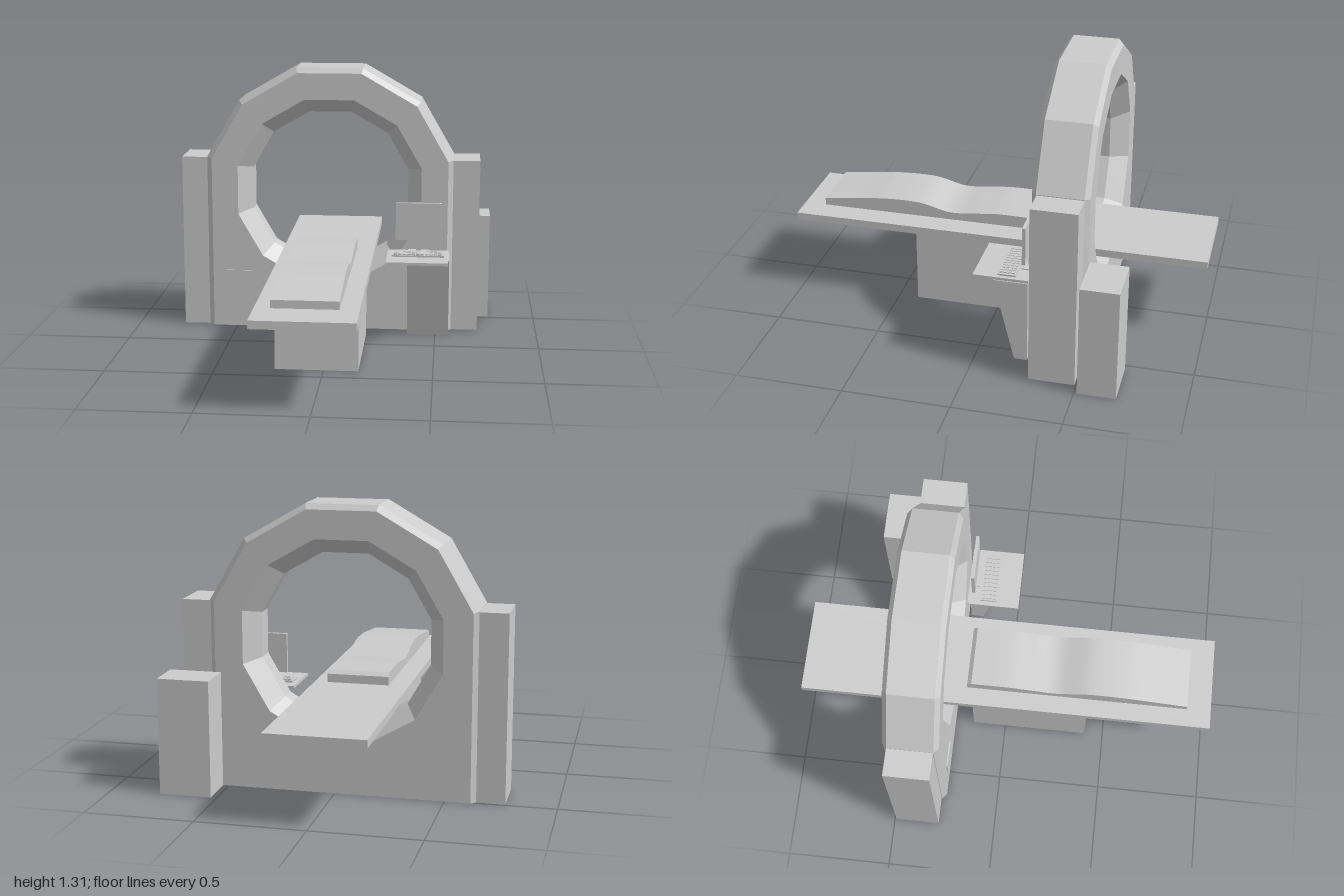
import * as THREE from 'three';
import { toCreasedNormals } from 'three/addons/utils/BufferGeometryUtils.js';

const material = new THREE.MeshStandardMaterial({ color: 0xcccccc });
const flat = new THREE.MeshStandardMaterial({ color: 0xcccccc, flatShading: true });

function add(parent, name, geometry, mat = material) {
  const mesh = new THREE.Mesh(geometry, mat);
  mesh.name = name;
  parent.add(mesh);
  return mesh;
}

// Box given by its limits on each axis
function box(parent, name, [x0, x1], [y0, y1], [z0, z1]) {
  const geometry = new THREE.BoxGeometry(x1 - x0, y1 - y0, z1 - z0);
  geometry.translate((x0 + x1) / 2, (y0 + y1) / 2, (z0 + z1) / 2);
  return add(parent, name, geometry);
}

// Side profile drawn as (z, y), extruded across x
function extrudeAcross(parent, name, shape, [x0, x1]) {
  let geometry = new THREE.ExtrudeGeometry(shape, { depth: x1 - x0, bevelEnabled: false, curveSegments: 8 });
  geometry.rotateY(-Math.PI / 2).translate(x1, 0, 0);
  geometry = toCreasedNormals(geometry, 0.5);
  return add(parent, name, geometry);
}

// Twelve-sided outlines sharing the centre of the bore
const CX = -0.0325, CY = 0.7;
function polygon(apothem, count) {
  const radius = apothem / Math.cos(Math.PI / 12);
  return Array.from({ length: count }, (_, i) => {
    const a = Math.PI / 12 + (i * Math.PI) / 6;
    return new THREE.Vector2(CX + radius * Math.cos(a), CY + radius * Math.sin(a));
  });
}
const arch = (a) => [new THREE.Vector2(CX + a, 0), ...polygon(a, 6), new THREE.Vector2(CX - a, 0)];
const bore = (a) => polygon(a, 12).reverse();

// Walls through matching loops, listed from front to back as [loop, z]
function loft(sections) {
  const positions = [];
  for (let s = 0; s < sections.length - 1; s++) {
    const [p, zp] = sections[s], [q, zq] = sections[s + 1];
    for (let i = 0; i < p.length; i++) {
      const j = (i + 1) % p.length;
      const a = [p[i].x, p[i].y, zp], b = [p[j].x, p[j].y, zp];
      const c = [q[i].x, q[i].y, zq], d = [q[j].x, q[j].y, zq];
      positions.push(...a, ...c, ...b, ...b, ...c, ...d);
    }
  }
  const geometry = new THREE.BufferGeometry();
  geometry.setAttribute('position', new THREE.Float32BufferAttribute(positions, 3));
  geometry.computeVertexNormals();
  return geometry;
}

function createGantry() {
  const gantry = new THREE.Group();
  gantry.name = 'gantry';
  const front = -0.255, back = -0.512;

  // Bevelled arch and the bore that narrows to a throat
  add(gantry, 'archShell', loft([
    [arch(0.585), front], [arch(0.61), front - 0.022],
    [arch(0.61), back + 0.022], [arch(0.585), back],
  ]), flat);
  add(gantry, 'bore', loft([
    [bore(0.455), front], [bore(0.387), front - 0.085],
    [bore(0.387), back + 0.085], [bore(0.455), back],
  ]), flat);

  // Front and back faces
  const shape = new THREE.Shape(arch(0.585));
  shape.holes.push(new THREE.Path(bore(0.455)));
  add(gantry, 'frontFace', new THREE.ShapeGeometry(shape)).position.z = front;
  const rear = add(gantry, 'backFace', new THREE.ShapeGeometry(shape));
  rear.rotation.y = Math.PI;
  rear.position.set(2 * CX, 0, back);

  // Side columns, control panel and rear cabinet
  box(gantry, 'rightColumn', [-0.77, -0.63], [0, 0.86], [-0.492, -0.28]);
  box(gantry, 'leftColumn', [0.565, 0.708], [0, 0.86], [-0.492, -0.28]);
  box(gantry, 'controlPanel', [-0.55, -0.42], [0.19, 0.29], [-0.258, -0.249]);
  box(gantry, 'rearCabinet', [0.527, 0.767], [0, 0.535], [-0.69, -0.514]);
  return gantry;
}

function createTable() {
  const table = new THREE.Group();
  table.name = 'patientTable';
  box(table, 'pedestal', [-0.225, 0.16], [0, 0.376], [-0.163, 0.405]);
  box(table, 'tabletop', [-0.26, 0.193], [0.375, 0.412], [-1, 1]);

  // Contoured mattress with a softened head end
  const profile = new THREE.Shape();
  profile.moveTo(-0.19, 0.432);
  profile.lineTo(0.88, 0.432);
  profile.lineTo(0.88, 0.468);
  profile.splineThru([[0.72, 0.486], [0.57, 0.503], [0.4, 0.503], [0.25, 0.47], [0.12, 0.479], [0, 0.49], [-0.17, 0.488]]
    .map(([z, y]) => new THREE.Vector2(z, y)));
  profile.lineTo(-0.19, 0.472);
  extrudeAcross(table, 'mattress', profile, [-0.18, 0.113]);
  return table;
}

function createConsole() {
  const desk = new THREE.Group();
  desk.name = 'operatorConsole';

  // Stand tapering towards the floor
  const stand = new THREE.Shape([[-0.242, 0], [-0.18, 0], [-0.082, 0.403], [-0.242, 0.403]]
    .map(([z, y]) => new THREE.Vector2(z, y)));
  extrudeAcross(desk, 'stand', stand, [0.362, 0.565]);
  box(desk, 'desktop', [0.262, 0.56], [0.403, 0.416], [-0.242, 0.014]);

  // Monitor
  box(desk, 'monitorFoot', [0.36, 0.465], [0.416, 0.421], [-0.238, -0.19]);
  box(desk, 'monitorNeck', [0.4, 0.425], [0.421, 0.5], [-0.224, -0.214]);
  box(desk, 'monitorScreen', [0.3, 0.525], [0.475, 0.66], [-0.221, -0.205]);

  // Keyboard with rows of keys
  box(desk, 'keyboard', [0.285, 0.54], [0.416, 0.424], [-0.18, -0.097]);
  for (let row = 0; row < 4; row++) {
    for (let col = 0; col < 11; col++) {
      const x = 0.295 + col * 0.0216, z = -0.173 + row * 0.0185;
      box(desk, 'key', [x, x + 0.017], [0.424, 0.43], [z, z + 0.014]);
    }
  }
  return desk;
}

export function createModel() {
  const model = new THREE.Group();
  model.name = 'bodyScanner';
  model.add(createGantry(), createTable(), createConsole());
  return model;
}
